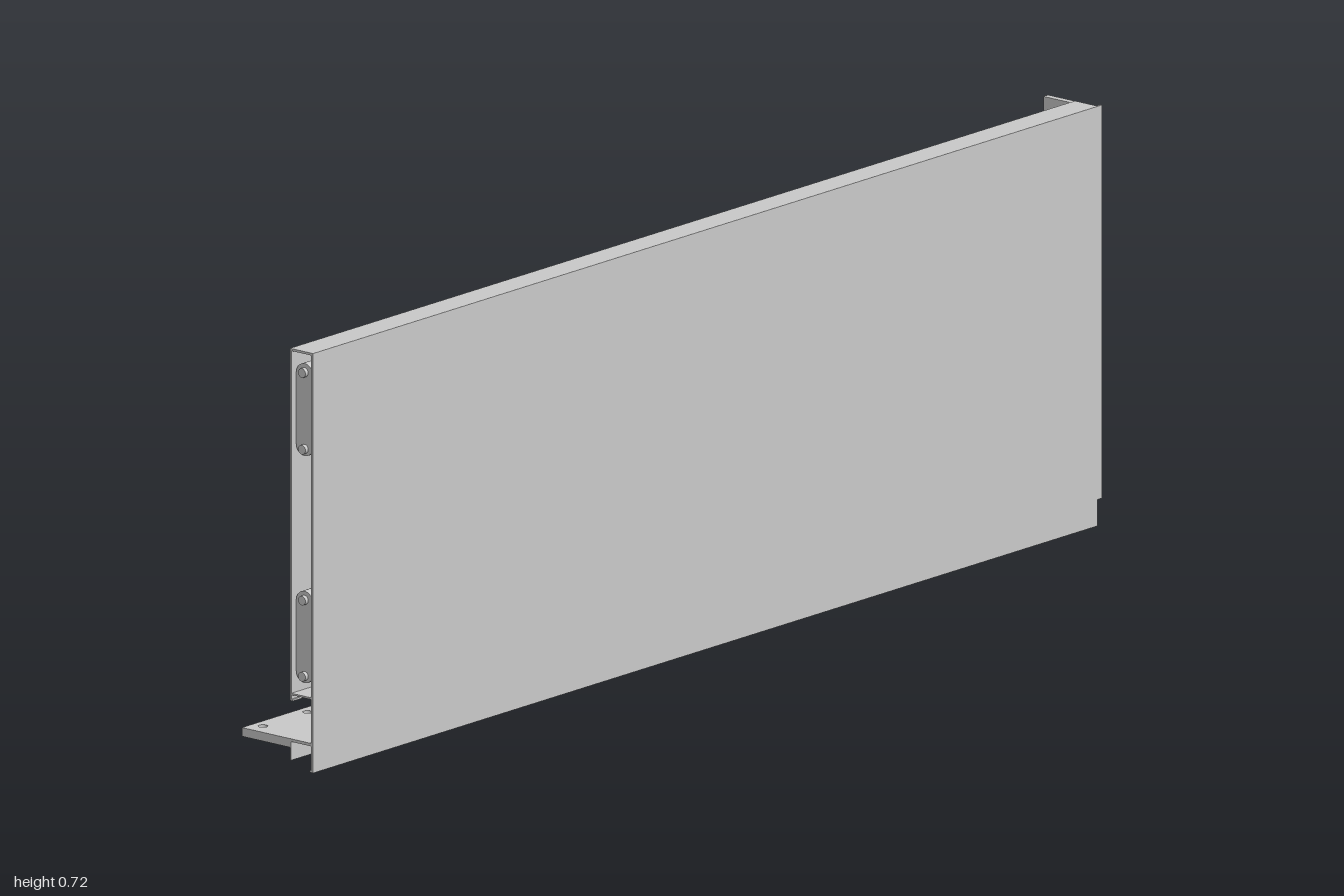
import * as THREE from 'three';

const material = new THREE.MeshStandardMaterial({ color: 0xcccccc });

export function createModel() {
  const group = new THREE.Group();
  group.name = 'drawerSide';

  const add = (name, geometry) => {
    const mesh = new THREE.Mesh(geometry, material);
    mesh.name = name;
    group.add(mesh);
    return mesh;
  };
  // Box given by its limits on each axis
  const box = (name, x0, x1, y0, y1, z0, z1) =>
    add(name, new THREE.BoxGeometry(x1 - x0, y1 - y0, z1 - z0)
      .translate((x0 + x1) / 2, (y0 + y1) / 2, (z0 + z1) / 2));
  const polygon = (points) => new THREE.Shape(points.map(([x, y]) => new THREE.Vector2(x, y)));
  const extrude = (shape, depth) =>
    new THREE.ExtrudeGeometry(shape, { depth, bevelEnabled: false, curveSegments: 16 });
  // Upright slot outline: half circles around two centres
  const slot = (Type, x, yLow, yHigh, r) => {
    const path = new Type();
    path.absarc(x, yHigh, r, 0, Math.PI, false);
    path.absarc(x, yLow, r, Math.PI, Math.PI * 2, false);
    path.closePath();
    return path;
  };

  // Outer sheet, notched at the lower back corner; shape x maps to -z
  const outer = polygon([[-1, 0], [0.988, 0], [0.988, 0.045], [1, 0.045], [1, 0.717], [-1, 0.717]]);
  add('outerPanel', extrude(outer, 0.004).rotateY(Math.PI / 2).translate(0.073, 0, 0));
  box('outerHem', 0.069, 0.073, 0, 0.003, -0.988, 1);

  // Hollow inner channel
  box('topPanel', 0.027, 0.073, 0.713, 0.717, -0.99, 1);
  box('innerPanel', 0.027, 0.03, 0.115, 0.713, -0.99, 1);
  box('innerHem', 0.03, 0.033, 0.115, 0.118, -0.99, 1);
  box('channelFloor', 0.03, 0.073, 0.125, 0.128, -0.99, 1);

  // Runner ledge below the recess, with its downward flange
  box('runnerLedge', 0.027, 0.073, 0.045, 0.05, -0.99, 1);
  box('runnerFlange', 0.027, 0.029, 0.013, 0.045, -0.99, 1);

  // Back plate with three slotted holes
  const back = polygon([[-0.04, 0.047], [0.073, 0.047], [0.073, 0.713], [-0.04, 0.713]]);
  for (const y of [0.163, 0.292, 0.552]) {
    back.holes.push(slot(THREE.Path, -0.007, y - 0.003, y + 0.003, 0.011));
  }
  add('backPlate', extrude(back, 0.012).translate(0, 0, -1));
  box('backFoot', -0.045, 0.073, 0.047, 0.1, -0.99, -0.955);

  // Front mounting plate with a rear tab and two holes; shape y maps to -z
  const plate = polygon([[-0.077, -1], [0.027, -1], [0.027, -0.785],
    [-0.058, -0.785], [-0.058, -0.758], [-0.077, -0.758]]);
  for (const z of [0.857, 0.97]) {
    const hole = new THREE.Path();
    hole.absarc(-0.057, -z, 0.008, 0, Math.PI * 2);
    plate.holes.push(hole);
  }
  add('frontMountingPlate', extrude(plate, 0.015).rotateX(-Math.PI / 2).translate(0, 0.035, 0));

  // Rounded fixing blocks in the open front end, each with two pins
  for (const [low, high] of [[0.165, 0.286], [0.553, 0.675]]) {
    add('fixingBlock', extrude(slot(THREE.Shape, 0.05, low, high, 0.018), 0.03).translate(0, 0, 0.96));
    for (const y of [low - 0.006, high + 0.003]) {
      add('fixingPin', new THREE.CylinderGeometry(0.008, 0.008, 0.01, 20)
        .rotateX(Math.PI / 2).translate(0.05, y, 0.992));
    }
  }
  return group;
}
